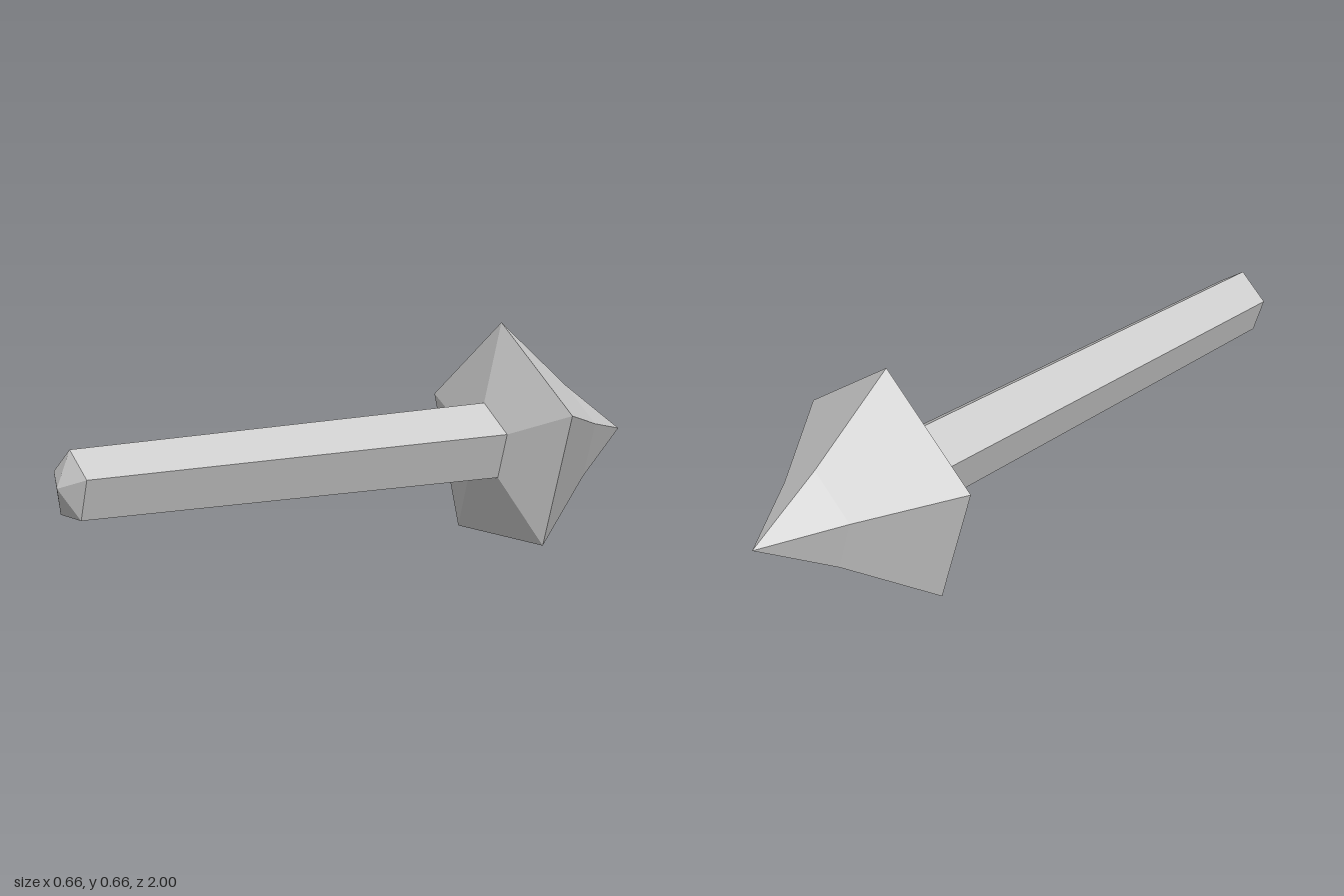
import * as THREE from 'three';

const SIDES = 5;
const CENTER_Y = 0.295;
const Y_STRETCH = 1.043; // cross-section is slightly taller than wide

// Faceted five-sided solid along z; profile is [z, radius] from front to back
function spindle(name, profile, material) {
  const points = profile.map(([z, r]) => new THREE.Vector2(r, -z));
  const lathe = new THREE.LatheGeometry(points, SIDES);
  lathe.rotateX(-Math.PI / 2);
  lathe.scale(1, Y_STRETCH, 1);
  lathe.translate(0, CENTER_Y, 0);
  const geometry = lathe.toNonIndexed();
  geometry.computeVertexNormals();
  const mesh = new THREE.Mesh(geometry, material);
  mesh.name = name;
  return mesh;
}

export function createModel() {
  const group = new THREE.Group();
  group.name = 'spike';

  const grey = new THREE.MeshStandardMaterial({ color: 0xcccccc });
  grey.name = 'lightGrey';

  // Tapered shaft with a blunt pointed end
  group.add(spindle('shaft', [[1, 0], [0.96, 0.0975], [-0.45, 0.117]], grey));

  // Flared collar running into a slightly concave point
  group.add(spindle('head', [[-0.45, 0.117], [-0.515, 0.348], [-0.777, 0.146], [-1, 0]], grey));

  return group;
}
